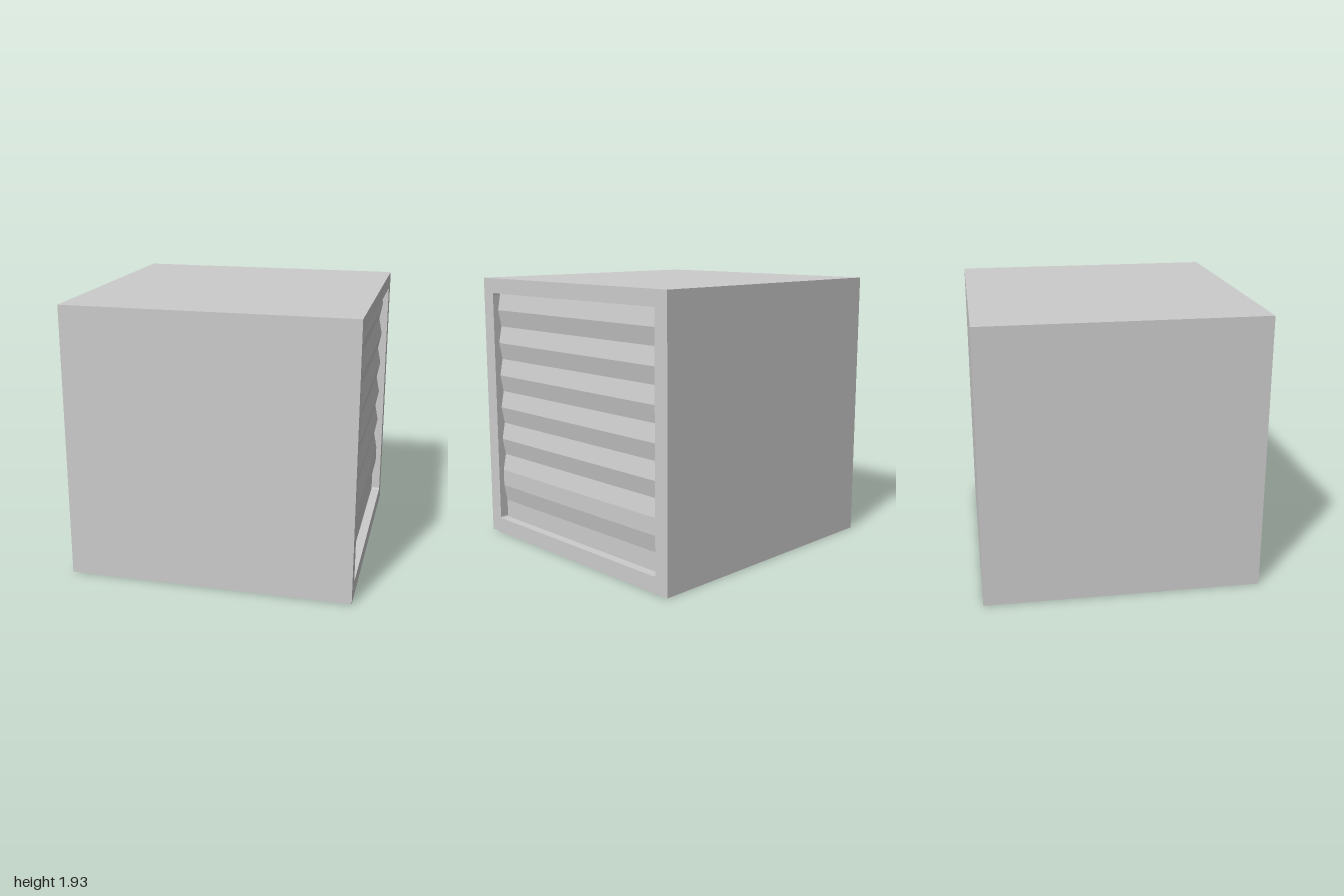
import * as THREE from 'three';

const H = 1.935;          // height and depth of the block
const SEAM = 0.935;       // where the body meets the end frame
const material = new THREE.MeshStandardMaterial({ color: 0xcccccc, flatShading: true });

function addMesh(group, name, geometry) {
  const mesh = new THREE.Mesh(geometry, material);
  mesh.name = name;
  group.add(mesh);
  return mesh;
}

// Rectangle with slightly rounded corners, centred on z = 0
function roundedOpening(half, bottom, top, r) {
  const p = new THREE.Path();
  p.absarc(half - r, bottom + r, r, -Math.PI / 2, 0);
  p.absarc(half - r, top - r, r, 0, Math.PI / 2);
  p.absarc(-half + r, top - r, r, Math.PI / 2, Math.PI);
  p.absarc(-half + r, bottom + r, r, Math.PI, Math.PI * 1.5);
  p.closePath();
  return p;
}

export function createModel() {
  const group = new THREE.Group();
  group.name = 'container';

  // Plain closed body
  const body = addMesh(group, 'body', new THREE.BoxGeometry(SEAM + 1, H, H));
  body.position.set((SEAM - 1) / 2, H / 2, 0);

  // Square frame around the end opening
  const h = H / 2;
  const outline = new THREE.Shape([
    new THREE.Vector2(-h, 0), new THREE.Vector2(h, 0),
    new THREE.Vector2(h, H), new THREE.Vector2(-h, H),
  ]);
  outline.holes.push(roundedOpening(0.857, 0.112, 1.826, 0.012));
  const frameGeometry = new THREE.ExtrudeGeometry(outline, {
    depth: 1 - SEAM, bevelEnabled: false, curveSegments: 4,
  });
  frameGeometry.rotateY(Math.PI / 2);
  addMesh(group, 'endFrame', frameGeometry).position.x = SEAM;

  // Folded panel: ridges alternate down the opening, the lowest one is flat-topped
  const deep = SEAM + 0.001, out = 0.96, step = 0.1215;
  const profile = [new THREE.Vector2(SEAM - 0.01, 0.105), new THREE.Vector2(deep, 0.105),
    new THREE.Vector2(deep, 0.244), new THREE.Vector2(out, 0.365)];
  for (let i = 0; i <= 10; i++) {
    profile.push(new THREE.Vector2(i % 2 ? deep : out, 0.485 + i * step));
  }
  profile.push(new THREE.Vector2(deep, 1.826), new THREE.Vector2(SEAM - 0.01, 1.826));
  const panelGeometry = new THREE.ExtrudeGeometry(new THREE.Shape(profile), {
    depth: 1.72, bevelEnabled: false,
  });
  addMesh(group, 'foldedPanel', panelGeometry).position.z = -0.86;

  return group;
}
